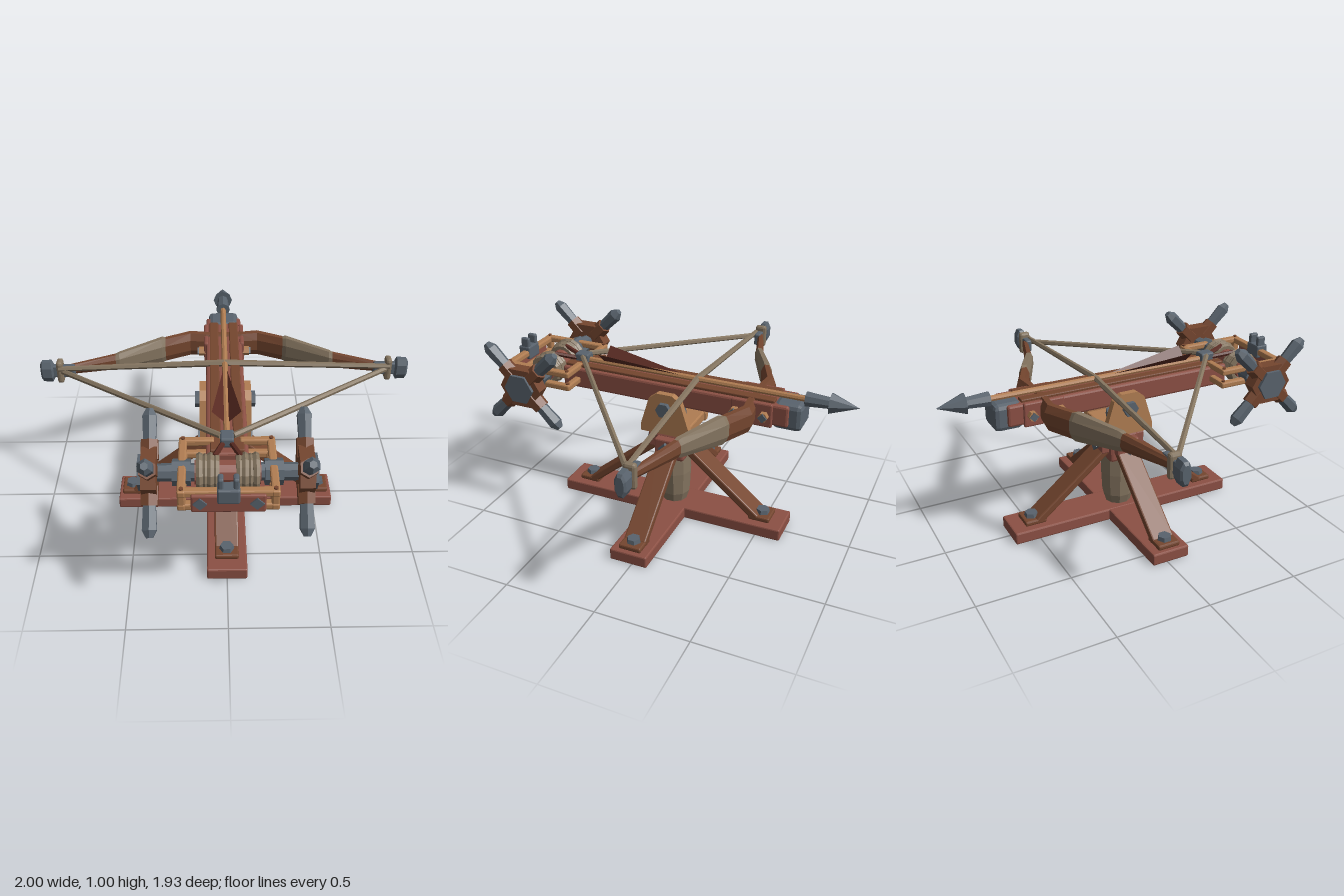
import * as THREE from 'three';
import { RoundedBoxGeometry } from 'three/addons/geometries/RoundedBoxGeometry.js';

const mat = (color) => new THREE.MeshStandardMaterial({ color, flatShading: true, side: THREE.DoubleSide });
const RED = mat(0x8c5044), BROWN = mat(0x75462f), TAN = mat(0xb07d52);
const IRON = mat(0x59636d), ROPE = mat(0x857560), DARK = mat(0x5a2b22);
const V = (x, y, z) => new THREE.Vector3(x, y, z);
const SIDES = [-1, 1];

function add(parent, name, geo, material, x = 0, y = 0, z = 0) {
  const m = new THREE.Mesh(geo, material);
  m.name = name;
  m.position.set(x, y, z);
  parent.add(m);
  return m;
}
// box with softly cut edges
const block = (w, h, d, r = 0.008) => new RoundedBoxGeometry(w, h, d, 1, r);
// cylinder along x
const axle = (r, len, sides = 8) => new THREE.CylinderGeometry(r, r, len, sides).rotateZ(Math.PI / 2);

// straight tapered bar between two points
function rod(parent, name, a, b, r0, r1, material, sides = 6) {
  const m = add(parent, name, new THREE.CylinderGeometry(r1, r0, a.distanceTo(b), sides), material);
  m.position.copy(a).add(b).multiplyScalar(0.5);
  m.quaternion.setFromUnitVectors(V(0, 1, 0), b.clone().sub(a).normalize());
  return m;
}

// skin over chamfered sections [x, z, halfHeight, halfDepth] standing across x
function loft(sections) {
  const pos = [], idx = [], n = 8;
  for (const [x, z, h, d] of sections) {
    const c = 0.45;
    for (const [u, v] of [[1, c], [c, 1], [-c, 1], [-1, c], [-1, -c], [-c, -1], [c, -1], [1, -c]]) pos.push(x, v * h, z + u * d);
  }
  for (let i = 0; i < sections.length - 1; i++) {
    for (let j = 0; j < n; j++) {
      const a = i * n + j, b = i * n + (j + 1) % n;
      idx.push(a, b, a + n, b, b + n, a + n);
    }
  }
  const g = new THREE.BufferGeometry();
  g.setAttribute('position', new THREE.Float32BufferAttribute(pos, 3));
  g.setIndex(idx);
  g.computeVertexNormals();
  return g;
}

function makeBase() {
  const g = new THREE.Group();
  g.name = 'base';
  add(g, 'crossBeam', block(1.21, 0.065, 0.21), RED, 0, 0.0325, 0);
  add(g, 'longBeam', block(0.21, 0.067, 1.32), RED, 0, 0.0335, 0);
  const post = [[0.07, 0.06], [0.088, 0.12], [0.095, 0.25], [0.09, 0.38], [0.07, 0.46]].map((p) => new THREE.Vector2(...p));
  add(g, 'wrappedPost', new THREE.LatheGeometry(post, 10), ROPE);
  add(g, 'postHead', block(0.17, 0.16, 0.17, 0.015), RED, 0, 0.425, 0);
  // four legs with foot pads and bolts
  for (let i = 0; i < 4; i++) {
    const leg = new THREE.Group();
    leg.name = 'leg';
    leg.rotation.y = i * Math.PI / 2;
    const foot = V(0.51, 0.075, 0), top = V(0.09, 0.42, 0);
    const brace = add(leg, 'brace', block(foot.distanceTo(top), 0.042, 0.125), BROWN);
    brace.position.copy(foot).add(top).multiplyScalar(0.5);
    brace.rotation.z = Math.atan2(top.y - foot.y, top.x - foot.x);
    add(leg, 'footPad', block(0.12, 0.028, 0.125), BROWN, 0.525, 0.08, 0);
    add(leg, 'footBolt', new THREE.CylinderGeometry(0.035, 0.04, 0.024, 6), IRON, 0.53, 0.105, 0);
    add(leg, 'clamp', block(0.05, 0.09, 0.13), RED, 0.105, 0.445, 0);
    add(leg, 'clampBolt', axle(0.036, 0.035, 4), IRON, 0.132, 0.44, 0);
    g.add(leg);
  }
  // swivel and yoke
  add(g, 'swivel', new THREE.CylinderGeometry(0.075, 0.075, 0.05, 10), IRON, 0, 0.52, 0);
  add(g, 'yokeBase', block(0.27, 0.055, 0.27), TAN, 0, 0.56, 0);
  add(g, 'swivelCap', new THREE.CylinderGeometry(0.065, 0.07, 0.035, 8), IRON, 0, 0.6, 0);
  const plate = new THREE.Shape([[-0.14, 0.53], [0.14, 0.53], [0.14, 0.57], [0.09, 0.73], [0.045, 0.765], [-0.045, 0.765], [-0.09, 0.73], [-0.14, 0.57]].map((p) => new THREE.Vector2(...p)));
  for (const s of SIDES) {
    const geo = new THREE.ExtrudeGeometry(plate, { depth: 0.036, bevelEnabled: false });
    geo.translate(0, 0, -0.018).rotateY(-Math.PI / 2);
    add(g, 'yokePlate', geo, TAN, s * 0.118, 0, 0);
    add(g, 'pivotBolt', axle(0.043, 0.03, 6), IRON, s * 0.145, 0.68, 0);
  }
  g.position.z = 0.02;
  return g;
}

function makeStock() {
  const g = new THREE.Group();
  g.name = 'stock';
  add(g, 'stockBeam', block(0.2, 0.115, 1.29, 0.012), RED, 0, 0.748, 0.005);
  add(g, 'noseCap', block(0.17, 0.145, 0.15, 0.025), IRON, 0, 0.74, -0.63);
  for (const s of SIDES) {
    add(g, 'rail', block(0.05, 0.025, 1.2, 0.005), BROWN, s * 0.055, 0.808, 0.04);
    add(g, 'cheek', block(0.025, 0.13, 0.22), RED, s * 0.1, 0.745, -0.45);
    for (const z of [-0.52, -0.365]) {
      add(g, 'peg', axle(0.026, 0.06, 6), TAN, s * 0.112, 0.745, z);
      add(g, 'pegBolt', axle(0.024, 0.014, 4), IRON, s * 0.143, 0.745, z);
    }
  }
  // trigger catch
  add(g, 'catchBlock', block(0.065, 0.05, 0.08), IRON, 0, 0.835, 0.57);
  for (const s of SIDES) rod(g, 'catchCord', V(s * 0.02, 0.83, 0.6), V(s * 0.06, 0.85, 0.72), 0.013, 0.013, DARK);
  return g;
}

function makeBow() {
  const g = new THREE.Group();
  g.name = 'bow';
  const sec = [[0, -0.44, 0.065, 0.03], [0.1, -0.44, 0.068, 0.032], [0.19, -0.45, 0.07, 0.034], [0.33, -0.385, 0.07, 0.03],
    [0.35, -0.376, 0.076, 0.034], [0.58, -0.262, 0.052, 0.028], [0.6, -0.255, 0.045, 0.023], [0.89, -0.165, 0.024, 0.016]];
  for (const s of SIDES) {
    const arm = new THREE.Group();
    arm.name = 'bowArm';
    arm.scale.x = s;
    arm.position.y = 0.75;
    add(arm, 'innerLimb', loft(sec.slice(0, 4)), BROWN);
    add(arm, 'limbWrap', loft(sec.slice(3, 7)), ROPE);
    add(arm, 'outerLimb', loft(sec.slice(6)), BROWN);
    // limb tip with string loop
    add(arm, 'tipSocket', block(0.17, 0.07, 0.036), IRON, 0.9, 0, -0.165);
    add(arm, 'tipCap', loft([[0.93, -0.165, 0.045, 0.02], [0.94, -0.165, 0.062, 0.03], [0.99, -0.165, 0.06, 0.029], [1, -0.165, 0.045, 0.02], [1, -0.165, 0, 0]]), IRON);
    add(arm, 'stringLoop', block(0.036, 0.13, 0.065, 0.014), ROPE, 0.895, 0, -0.165);
    g.add(arm);
    rod(g, 'drawnString', V(s * 0.9, 0.755, -0.16), V(s * 0.03, 0.845, 0.56), 0.015, 0.015, ROPE);
    rod(g, 'crossString', V(s * 0.9, 0.775, -0.14), V(0, 0.825, -0.11), 0.014, 0.018, ROPE);
  }
  return g;
}

function makeBolt() {
  const g = new THREE.Group();
  g.name = 'bolt';
  rod(g, 'shaft', V(0, 0, 0.54), V(0, 0, -0.72), 0.016, 0.016, TAN, 8);
  rod(g, 'collar', V(0, 0, -0.7), V(0, 0, -0.83), 0.04, 0.03, IRON, 8);
  rod(g, 'head', V(0, 0, -0.825), V(0, 0, -0.97), 0.056, 0, IRON, 8);
  const fin = new THREE.Shape([[0, 0], [0.54, 0], [0.54, 0.1]].map((p) => new THREE.Vector2(...p)));
  for (const s of SIDES) {
    add(g, 'fin', new THREE.ShapeGeometry(fin).rotateY(-Math.PI / 2).rotateZ(s * Math.PI / 4), DARK, 0, 0, -0.1);
  }
  g.position.y = 0.825;
  return g;
}

function makeWinch() {
  const g = new THREE.Group();
  g.name = 'winch';
  // open frame: two rails on each side, joined front and back
  for (const y of [-0.037, 0.037]) {
    for (const s of SIDES) {
      add(g, 'frameSide', block(0.038, 0.034, 0.4), TAN, s * 0.207, y, 0.002);
      add(g, 'frameBack', block(0.16, 0.034, 0.036), TAN, s * 0.14, y, -0.18);
      for (const z of [-0.18, 0.18]) add(g, 'frameRivet', new THREE.CylinderGeometry(0.011, 0.011, 0.01, 6), BROWN, s * 0.207, y + 0.019, z);
    }
    add(g, 'frameFront', block(0.45, 0.034, 0.04), TAN, 0, y, 0.18);
  }
  add(g, 'frontPlate', block(0.33, 0.095, 0.035), RED, 0, -0.005, 0.197);
  add(g, 'frontLatch', block(0.1, 0.075, 0.07), IRON, 0, 0.04, 0.19);
  // drum with coiled rope
  add(g, 'drum', axle(0.058, 0.3, 10), RED);
  for (const s of SIDES) {
    add(g, 'latchProng', block(0.025, 0.075, 0.05), IRON, s * 0.034, 0.09, 0.185);
    add(g, 'plateBolt', new THREE.CylinderGeometry(0.032, 0.032, 0.02, 4).rotateX(Math.PI / 2), IRON, s * 0.125, 0, 0.212);
    add(g, 'cornerPost', block(0.036, 0.1, 0.036), TAN, s * 0.207, 0, 0.18);
    for (let i = 0; i < 4; i++) {
      add(g, 'ropeCoil', new THREE.TorusGeometry(0.068 + (i % 2) * 0.006, 0.018, 6, 14).rotateY(Math.PI / 2), ROPE, s * (0.053 + i * 0.025));
    }
    add(g, 'axle', axle(0.042, 0.24, 8), IRON, s * 0.24);
    add(g, 'bearing', axle(0.062, 0.085, 8), IRON, s * 0.21);
    // crank wheel with four handles
    const wheel = new THREE.Group();
    wheel.name = 'crankWheel';
    wheel.position.x = s * 0.355;
    add(wheel, 'hub', axle(0.12, 0.07, 6), BROWN);
    add(wheel, 'hubCap', axle(0.085, 0.045, 6), IRON, s * 0.03);
    for (let k = 0; k < 4; k++) {
      const a = Math.PI / 4 + k * Math.PI / 2;
      const at = (r) => V(0, Math.sin(a) * r, Math.cos(a) * r);
      rod(wheel, 'handleSocket', at(0.06), at(0.15), 0.047, 0.044, BROWN);
      rod(wheel, 'handle', at(0.13), at(0.26), 0.032, 0.038, IRON);
      rod(wheel, 'handleTip', at(0.26), at(0.295), 0.038, 0.018, IRON);
    }
    g.add(wheel);
  }
  g.position.set(0, 0.775, 0.74);
  return g;
}

export function createModel() {
  const model = new THREE.Group();
  model.name = 'ballista';
  model.add(makeBase(), makeStock(), makeBow(), makeBolt(), makeWinch());
  return model;
}
